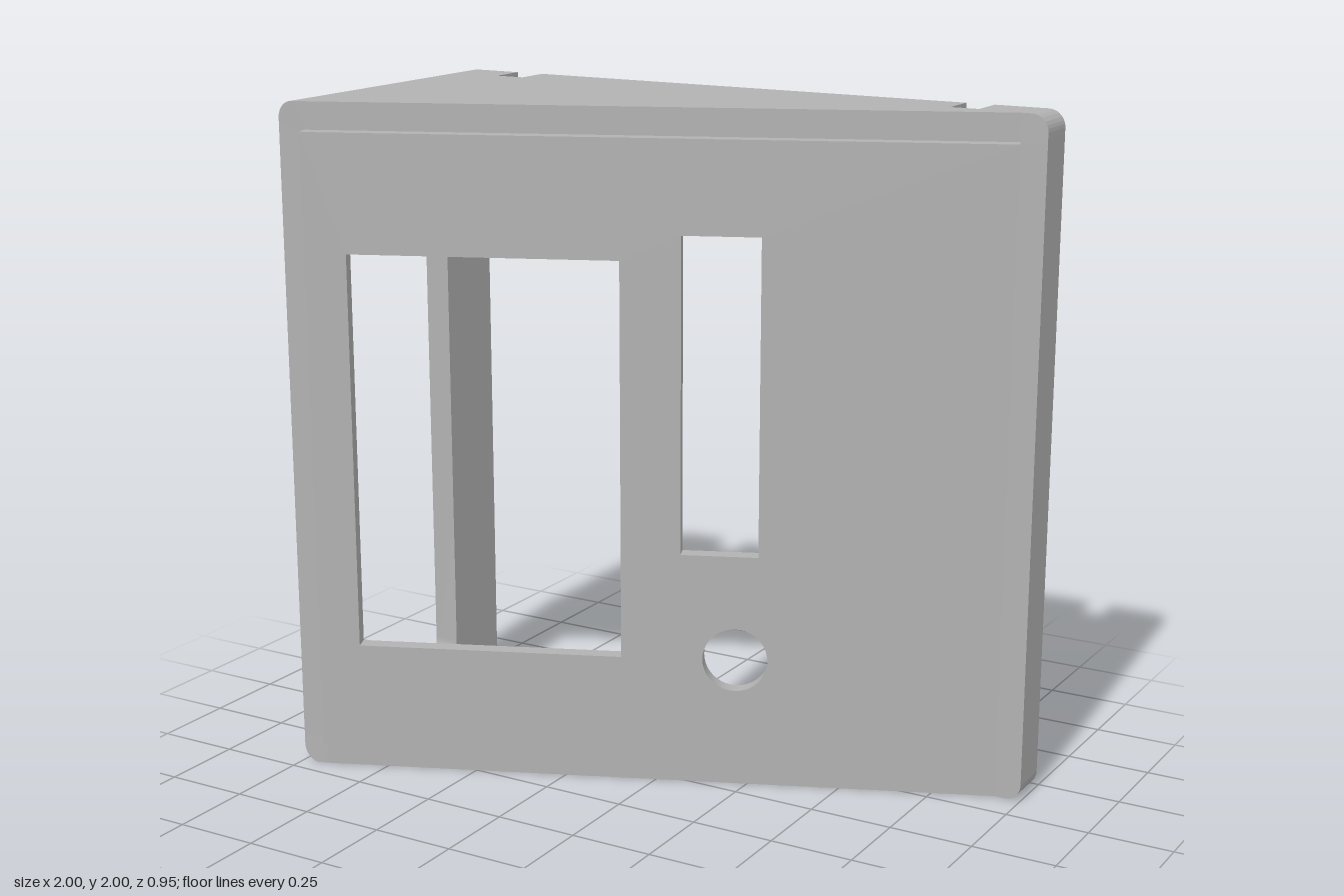
import * as THREE from 'three';
import { toCreasedNormals } from 'three/addons/utils/BufferGeometryUtils.js';

const BACK = -0.48, LEFT_FRONT = -0.355, RIGHT_FRONT = 0.44, SLOPE_START = 0.43;
const WALL = 0.08, INNER = 1 - WALL;

const polygon = (points) => new THREE.Shape(points.map(([x, y]) => new THREE.Vector2(x, y)));

// rectangle with optionally rounded corners
function rect(x0, y0, x1, y1, r = 0) {
  if (!r) return polygon([[x0, y0], [x1, y0], [x1, y1], [x0, y1]]);
  const s = new THREE.Shape();
  s.absarc(x1 - r, y0 + r, r, -Math.PI / 2, 0);
  s.absarc(x1 - r, y1 - r, r, 0, Math.PI / 2);
  s.absarc(x0 + r, y1 - r, r, Math.PI / 2, Math.PI);
  s.absarc(x0 + r, y0 + r, r, Math.PI, Math.PI * 1.5);
  s.closePath();
  return s;
}

const extrude = (shape, depth) =>
  new THREE.ExtrudeGeometry(shape, { depth, bevelEnabled: false, curveSegments: 20 });

// pulls the inner front edge of the deep wall back to the sloping plane
function trimFront(geometry) {
  const p = geometry.attributes.position;
  for (let i = 0; i < p.count; i++) {
    if (p.getX(i) > -INNER - 0.01 && p.getX(i) < 0 && p.getZ(i) > SLOPE_START) p.setZ(i, SLOPE_START);
  }
  return geometry;
}

export function createModel() {
  const model = new THREE.Group();
  model.name = 'wedgeEnclosure';
  const grey = new THREE.MeshStandardMaterial({ color: 0xb2b2b2 });
  grey.name = 'grey';

  function add(name, geometry) {
    const mesh = new THREE.Mesh(toCreasedNormals(geometry, 0.5), grey);
    mesh.name = name;
    model.add(mesh);
    return mesh;
  }

  // top and bottom wedge plates, each with two notches in the back edge
  const notch = -0.37;
  const wedge = polygon([
    [-INNER, BACK], [-0.8, BACK], [-0.8, notch], [-0.71, notch], [-0.71, BACK],
    [0.705, BACK], [0.705, notch], [0.79, notch], [0.79, BACK],
    [INNER, BACK], [INNER, LEFT_FRONT], [-INNER, SLOPE_START],
  ]);
  for (const [name, y] of [['topPlate', 2], ['bottomPlate', WALL]]) {
    add(name, extrude(wedge, WALL).rotateX(Math.PI / 2).translate(0, y, 0));
  }

  // deep right wall with a rounded window
  const rightWall = rect(BACK, WALL, RIGHT_FRONT, 2 - WALL);
  rightWall.holes.push(rect(-0.25, 0.1, 0.245, 1.73, 0.08));
  add('rightWall', trimFront(extrude(rightWall, WALL).rotateY(-Math.PI / 2).translate(-INNER, 0, 0)));

  // shallow left wall
  add('leftWall', extrude(rect(INNER, WALL, 1, 2 - WALL), LEFT_FRONT - BACK).translate(0, 0, BACK));

  // rounded corner bars joining the walls to the plates
  const r = 0.05;
  for (const sx of [-1, 1]) {
    for (const sy of [-1, 1]) {
      const corner = new THREE.Shape();
      corner.moveTo(sx * INNER, 1 + sy * INNER);
      corner.lineTo(sx, 1 + sy * INNER);
      corner.lineTo(sx, 1 + sy * (1 - r));
      const from = sx > 0 ? 0 : Math.PI;
      corner.absarc(sx * (1 - r), 1 + sy * (1 - r), r, from, sy * Math.PI / 2, sx * sy < 0);
      corner.lineTo(sx * INNER, 1 + sy);
      corner.closePath();
      // the arc on the lower right side must run from PI to 3PI/2
      if (sx < 0 && sy < 0) {
        corner.curves.forEach((c) => { if (c.isEllipseCurve) c.aEndAngle = Math.PI * 1.5; });
      }
      const front = sx > 0 ? LEFT_FRONT : RIGHT_FRONT;
      add('cornerBar', trimFront(extrude(corner, front - BACK).translate(0, 0, BACK)));
    }
  }

  // raised sloping front panel with a screen opening, a slot and a round hole
  const run = 2 * INNER, drop = SLOPE_START - LEFT_FRONT;
  const panel = rect(0, WALL, Math.hypot(run, drop), 2 - WALL);
  const round = new THREE.Path();
  round.absarc(1.238, 0.405, 0.095, 0, Math.PI * 2);
  panel.holes.push(rect(0.122, 0.4, 0.904, 1.575), rect(1.078, 0.72, 1.303, 1.65), round);
  const front = add('frontPanel', extrude(panel, 0.048));
  front.position.set(-INNER, 0, SLOPE_START);
  front.rotation.y = Math.atan2(drop, run);

  return model;
}
